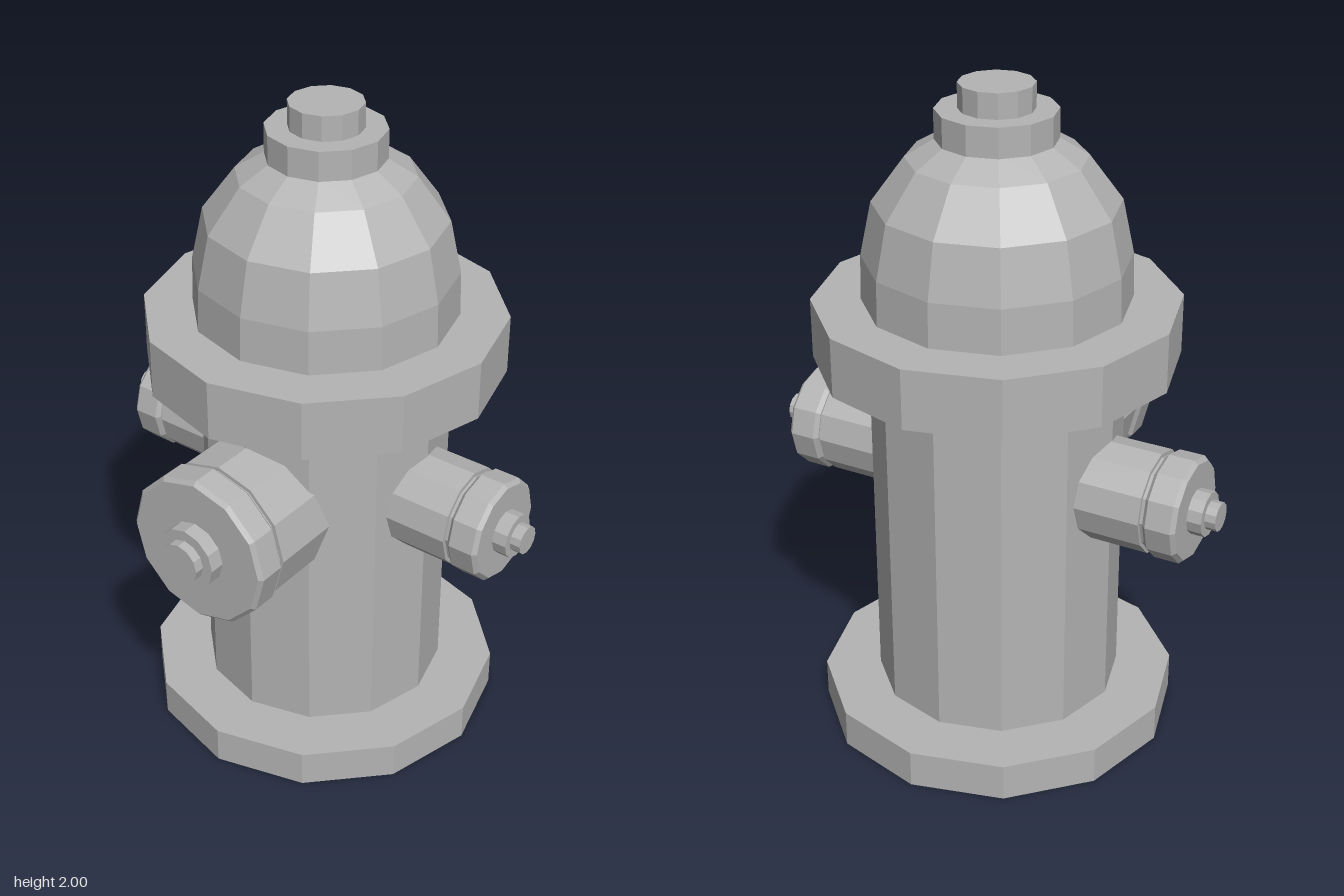
import * as THREE from 'three';

const SIDES = 12;
const AXIS_Z = -0.068; // the barrel stands slightly behind the centre

const castIron = new THREE.MeshStandardMaterial({ color: 0xb4b4b4, flatShading: true });
castIron.name = 'castIron';

// Faceted turned part from [radius, height] pairs, listed upwards
function turned(name, profile) {
  const points = profile.map(([r, y]) => new THREE.Vector2(r, y));
  const mesh = new THREE.Mesh(new THREE.LatheGeometry(points, SIDES), castIron);
  mesh.name = name;
  return mesh;
}

// Closed straight disc or column
function disc(name, r, y0, y1) {
  return turned(name, [[0, y0], [r, y0], [r, y1], [0, y1]]);
}

// Closed disc with small bevels on both rims
function bevelled(name, r, y0, y1, b = 0.012) {
  return turned(name, [[0, y0], [r - b, y0], [r, y0 + b], [r, y1 - b], [r - b, y1], [0, y1]]);
}

// Hose outlet along +y: pipe, groove, screw cap and nut; lengths are measured from its origin
function outlet(name, { pipeR, capR, nutR, tipR, start, pipeEnd, capStart, capEnd, nutEnd, tipEnd }) {
  const group = new THREE.Group();
  group.name = name;
  group.add(
    disc('outletPipe', pipeR, start, pipeEnd),
    disc('outletGroove', pipeR - 0.012, pipeEnd - 0.01, capStart + 0.01),
    bevelled('outletCap', capR, capStart, capEnd),
    disc('outletNut', nutR, capEnd - 0.01, nutEnd),
    disc('outletNutTip', tipR, nutEnd - 0.01, tipEnd)
  );
  return group;
}

export function createModel() {
  const model = new THREE.Group();
  model.name = 'fireHydrant';

  // Upright barrel with its base plate, collar, dome and top nut
  const barrel = new THREE.Group();
  barrel.name = 'barrel';
  barrel.position.z = AXIS_Z;
  barrel.add(
    disc('basePlate', 0.543, 0, 0.115),
    disc('column', 0.373, 0.1, 1.2),
    disc('collar', 0.534, 1.187, 1.367),
    turned('dome', [[0, 1.35], [0.39, 1.35], [0.39, 1.367], [0.386, 1.5], [0.352, 1.66],
      [0.256, 1.79], [0.17, 1.842], [0, 1.842]]),
    disc('topNut', 0.173, 1.83, 1.927),
    disc('topNutTip', 0.108, 1.92, 2)
  );
  model.add(barrel);

  // Large outlet on the front
  const front = outlet('frontOutlet', {
    pipeR: 0.228, capR: 0.236, nutR: 0.097, tipR: 0.064,
    start: 0.1, pipeEnd: 0.428, capStart: 0.438, capEnd: 0.537, nutEnd: 0.583, tipEnd: 0.612
  });
  front.rotation.x = Math.PI / 2;
  front.position.set(0, 0.842, 0);
  model.add(front);

  // Matching small outlets on both sides
  for (const side of [1, -1]) {
    const small = outlet(side > 0 ? 'leftOutlet' : 'rightOutlet', {
      pipeR: 0.153, capR: 0.158, nutR: 0.067, tipR: 0.043,
      start: 0.2, pipeEnd: 0.53, capStart: 0.541, capEnd: 0.641, nutEnd: 0.685, tipEnd: 0.718
    });
    small.rotation.z = -side * Math.PI / 2;
    small.position.set(0, 0.842, AXIS_Z - 0.006);
    model.add(small);
  }
  return model;
}
